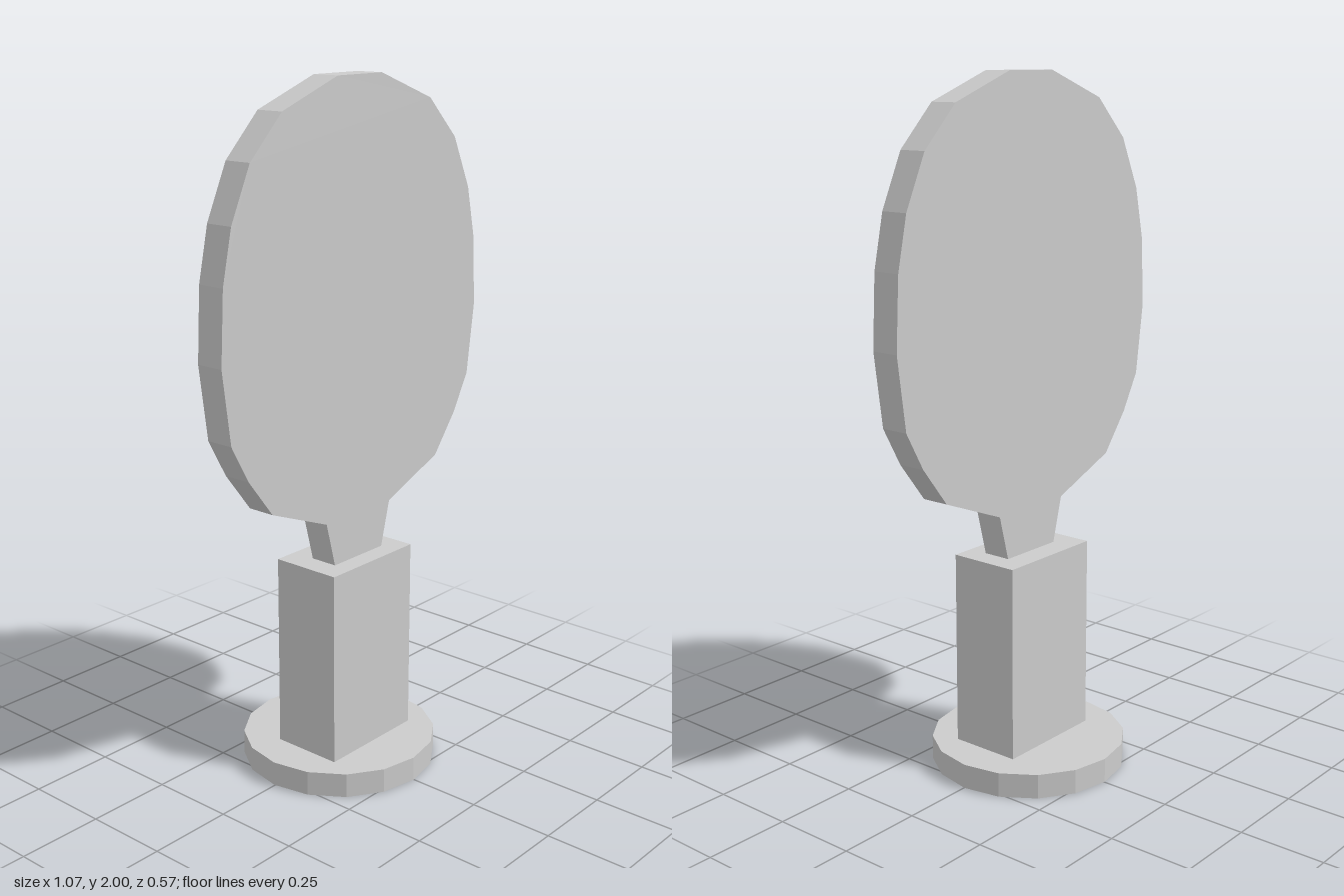
import * as THREE from 'three';

export function createModel() {
  const group = new THREE.Group();
  const material = new THREE.MeshStandardMaterial({ color: 0xcccccc, flatShading: true });

  const addPart = (name, geometry, x, y, z) => {
    const mesh = new THREE.Mesh(geometry, material);
    mesh.name = name;
    mesh.position.set(x, y, z);
    group.add(mesh);
  };

  // Sixteen-sided foot disc
  addPart('base', new THREE.CylinderGeometry(0.286, 0.286, 0.072, 16), -0.002, 0.036, -0.002);

  // Rectangular handle block
  addPart('handle', new THREE.BoxGeometry(0.342, 0.573, 0.213), -0.002, 0.3585, 0.021);

  // Flat paddle with a tapered neck: half outline, mirrored across x
  const half = [
    [0.102, 0.64], [0.138, 0.777], [0.357, 0.865], [0.446, 0.98], [0.507, 1.09], [0.536, 1.3],
    [0.525, 1.505], [0.492, 1.655], [0.422, 1.805], [0.304, 1.922], [0.09, 2],
  ].map(([x, y]) => new THREE.Vector2(x, y));
  const mirrored = half.map((p) => new THREE.Vector2(-p.x, p.y)).reverse();
  const outline = new THREE.Shape([...half, ...mirrored]);
  const depth = 0.084;
  addPart('paddle', new THREE.ExtrudeGeometry(outline, { depth, bevelEnabled: false }), 0, 0, -0.014);

  return group;
}
